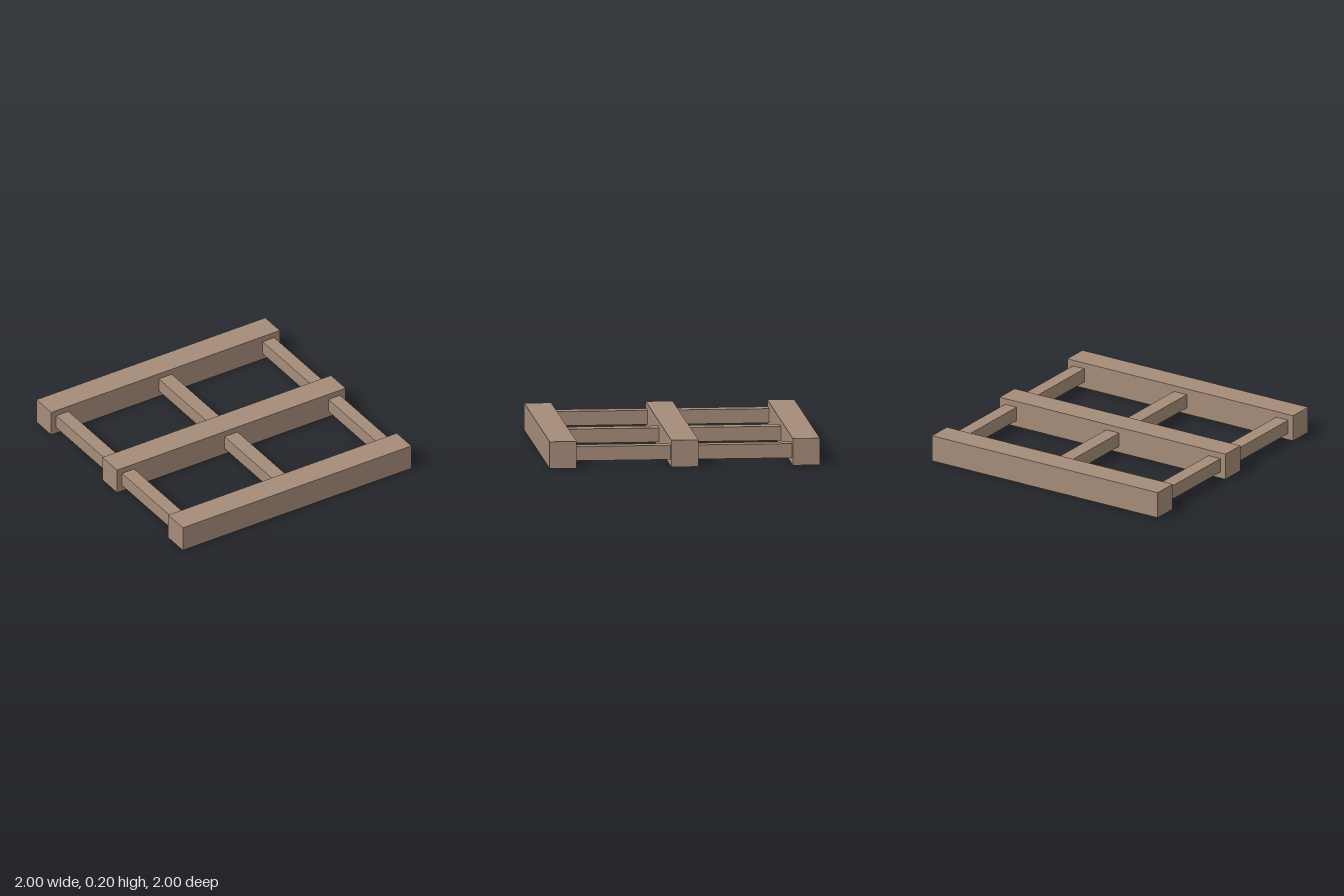
import * as THREE from 'three';

export function createModel() {
  const model = new THREE.Group();
  model.name = 'timberFrame';
  const wood = new THREE.MeshStandardMaterial({ color: 0xa68c79 });
  wood.name = 'brown wood';

  function beam(name, size, position) {
    const mesh = new THREE.Mesh(new THREE.BoxGeometry(...size), wood);
    mesh.name = name;
    mesh.position.set(...position);
    model.add(mesh);
  }

  // Three long beams running left to right
  for (const [name, z] of [['backBeam', -0.9], ['middleBeam', 0], ['frontBeam', 0.9]]) {
    beam(name, [2, 0.2, 0.2], [0, 0.1, z]);
  }

  // Thinner crossbars joining the beams, one row on each side of the middle
  const bars = [['right', -0.903, 0.107], ['centre', -0.002, 0.114], ['left', 0.9, 0.102]];
  for (const [row, z] of [['Back', -0.45], ['Front', 0.45]]) {
    for (const [side, x, width] of bars) {
      beam(`${side}${row}Crossbar`, [width, 0.106, 0.7], [x, 0.102, z]);
    }
  }

  return model;
}
